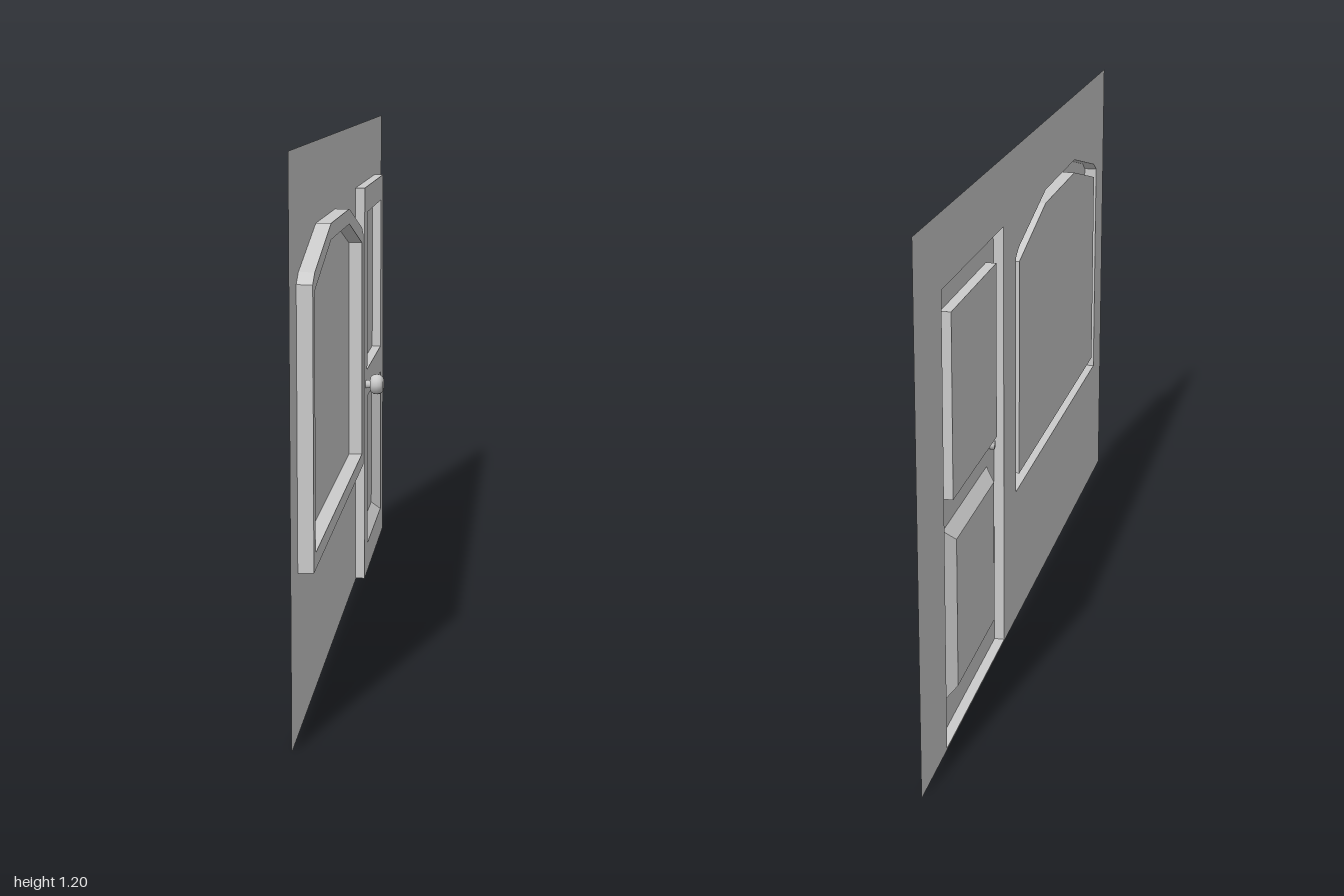
import * as THREE from 'three';

// Depths along x: wall plane, door face, window frame face
const WALL = -0.036, DOOR = -0.012, FRAME = -0.003;

const grey = new THREE.MeshStandardMaterial({ color: 0xcccccc, side: THREE.DoubleSide, flatShading: true });
const smoothGrey = new THREE.MeshStandardMaterial({ color: 0xcccccc, side: THREE.DoubleSide });

// Outlines are lists of [z, y]
const rect = (z0, z1, y0, y1) => [[z0, y0], [z1, y0], [z1, y1], [z0, y1]];

// Flat panel facing +x, with optional openings
function panel(name, x, outline, holes = []) {
  const toPoints = pts => pts.map(([z, y]) => new THREE.Vector2(-z, y));
  const shape = new THREE.Shape(toPoints(outline));
  holes.forEach(h => shape.holes.push(new THREE.Path(toPoints(h))));
  const mesh = new THREE.Mesh(new THREE.ShapeGeometry(shape).rotateY(Math.PI / 2), grey);
  mesh.position.x = x;
  mesh.name = name;
  return mesh;
}

// Band of faces joining one outline at depth xa to a matching one at depth xb
function rim(name, a, xa, b, xb) {
  const pos = [];
  a.forEach((p, i) => {
    const j = (i + 1) % a.length;
    const A = [xa, p[1], p[0]], B = [xa, a[j][1], a[j][0]];
    const C = [xb, b[j][1], b[j][0]], D = [xb, b[i][1], b[i][0]];
    pos.push(...A, ...B, ...C, ...A, ...C, ...D);
  });
  const geo = new THREE.BufferGeometry();
  geo.setAttribute('position', new THREE.Float32BufferAttribute(pos, 3));
  geo.computeVertexNormals();
  const mesh = new THREE.Mesh(geo, grey);
  mesh.name = name;
  return mesh;
}

export function createModel() {
  const model = new THREE.Group();
  model.name = 'wallWithDoorAndWindow';

  // Outlines
  const doorOuter = rect(-0.795, -0.254, 0.004, 1.04);
  const doorGlass = rect(-0.721, -0.324, 0.557, 0.973);
  const panelOuter = rect(-0.721, -0.329, 0.08, 0.483);
  const panelInner = rect(-0.696, -0.354, 0.105, 0.456);
  const windowOuter = [[-0.128, 0.342], [0.894, 0.342], [0.894, 0.932], [0.86, 0.953],
    [0.573, 1.025], [0.205, 1.025], [-0.095, 0.953], [-0.128, 0.934]];
  const windowInner = [[-0.091, 0.377], [0.862, 0.377], [0.862, 0.916],
    [0.573, 0.99], [0.205, 0.99], [-0.091, 0.916]];

  // Thin wall with the door and window openings
  model.add(panel('wall', WALL, rect(-1, 1, 0, 1.2), [doorOuter, windowOuter]));

  // Window: raised frame with the pane set back
  const win = new THREE.Group();
  win.name = 'window';
  win.add(
    rim('windowFrameOuterEdge', windowOuter, WALL, windowOuter, FRAME),
    panel('windowFrameFace', FRAME, windowOuter, [windowInner]),
    rim('windowFrameInnerEdge', windowInner, FRAME, windowInner, WALL),
    panel('windowPane', WALL, windowInner));
  model.add(win);

  // Door: raised face, recessed pane above, bevelled panel below
  const door = new THREE.Group();
  door.name = 'door';
  door.add(
    rim('doorEdge', doorOuter, WALL, doorOuter, DOOR),
    panel('doorFace', DOOR, doorOuter, [doorGlass, panelOuter]),
    rim('doorPaneEdge', doorGlass, DOOR, doorGlass, WALL),
    panel('doorPane', WALL, doorGlass),
    rim('lowerPanelBevel', panelOuter, DOOR, panelInner, WALL),
    panel('lowerPanel', WALL, panelInner));

  // Knob with its stem through the door
  const profile = [[0, -0.022], [0.011, -0.022], [0.011, -0.001], [0.021, 0.001], [0.026, 0.009],
    [0.027, 0.018], [0.025, 0.027], [0.018, 0.034], [0, 0.036]].map(p => new THREE.Vector2(...p));
  const knob = new THREE.Mesh(new THREE.LatheGeometry(profile, 12).rotateZ(-Math.PI / 2), smoothGrey);
  knob.position.set(0, 0.523, -0.289);
  knob.name = 'doorKnob';
  door.add(knob);
  model.add(door);

  return model;
}
